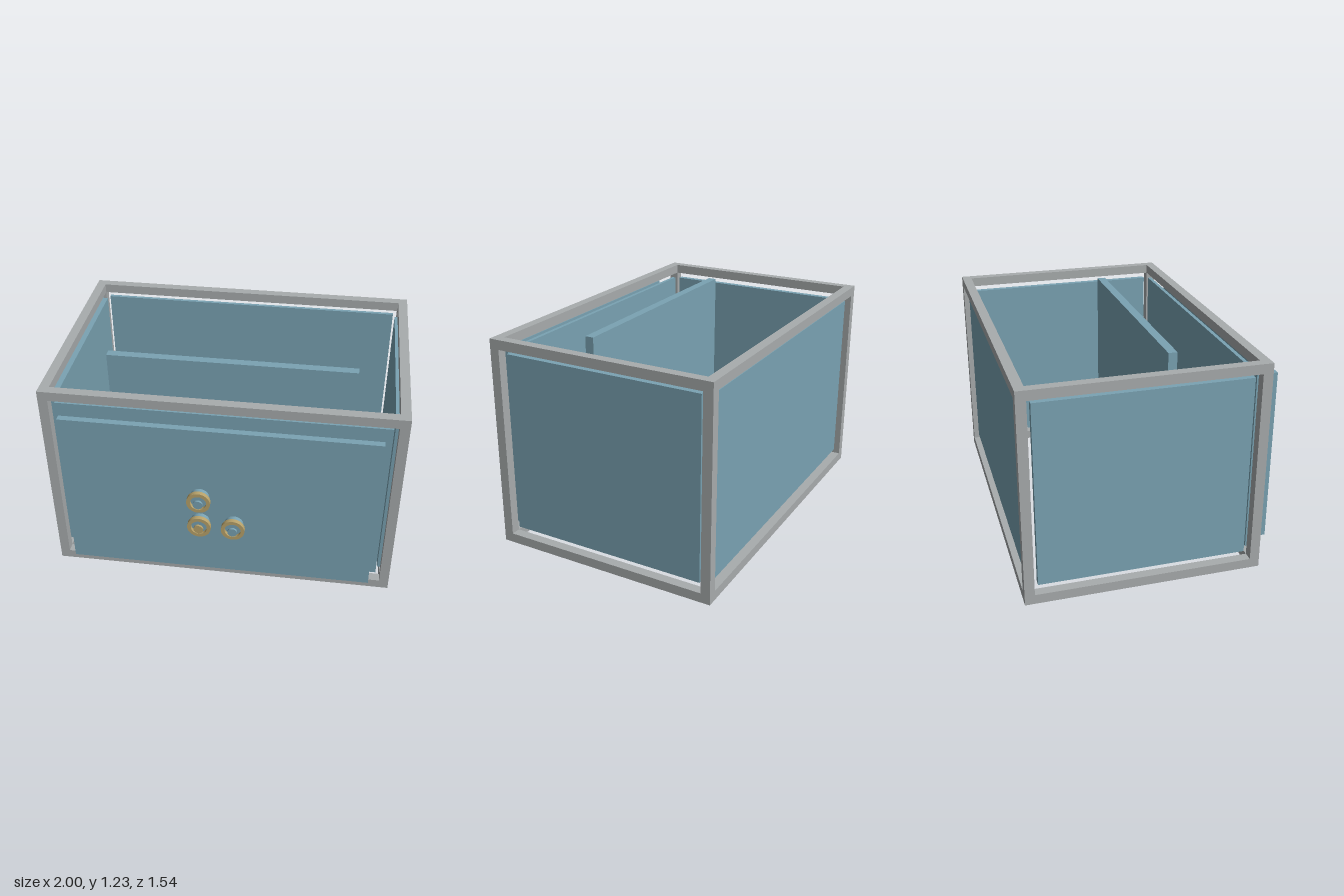
import * as THREE from 'three';

const mat = (name, color, flat = false) => {
  const m = new THREE.MeshStandardMaterial({ color, flatShading: flat });
  m.name = name;
  return m;
};

export function createModel() {
  const model = new THREE.Group();
  model.name = 'framedCabinet';
  const steel = mat('greySteel', 0xa8acad);
  const blue = mat('bluePanel', 0x7aa3b3);
  const blueKnob = mat('blueKnob', 0x7aa3b3);
  const brass = mat('brass', 0xb9a36b);

  // box given by its min and max corners
  const box = (parent, name, material, [x0, y0, z0], [x1, y1, z1]) => {
    const mesh = new THREE.Mesh(new THREE.BoxGeometry(x1 - x0, y1 - y0, z1 - z0), material);
    mesh.position.set((x0 + x1) / 2, (y0 + y1) / 2, (z0 + z1) / 2);
    mesh.name = name;
    parent.add(mesh);
  };

  // open frame of twelve square bars
  const H = 1.225, T = 0.055, ZB = -0.77, ZF = 0.56;
  const frame = new THREE.Group();
  frame.name = 'frame';
  model.add(frame);
  for (const z of [ZB, ZF - T]) {
    for (const x of [-1, 1 - T]) box(frame, 'post', steel, [x, 0, z], [x + T, H, z + T]);
    for (const y of [0, H - T]) box(frame, 'longRail', steel, [-1 + T, y, z], [1 - T, y + T, z + T]);
  }
  for (const x of [-1, 1 - T])
    for (const y of [0, H - T]) box(frame, 'sideRail', steel, [x, y, ZB + T], [x + T, y + T, ZF - T]);

  // wall panels set inside the frame openings
  const y0 = 0.09, y1 = 1.14;
  box(model, 'leftPanel', blue, [0.93, y0, -0.69], [0.965, y1, 0.48]);
  box(model, 'rightPanel', blue, [-0.965, y0, -0.69], [-0.93, y1, 0.48]);
  box(model, 'frontPanel', blue, [-0.92, y0, 0.508], [0.92, y1, 0.53]);
  box(model, 'backPanel', blue, [-0.92, y0, -0.74], [0.92, y1, -0.718]);

  // inner divider and outer door plate
  box(model, 'divider', blue, [-0.72, 0, 0.09], [0.72, H, 0.14]);
  box(model, 'door', blue, [-0.875, 0.115, 0.61], [0.875, 1.115, 0.647]);

  // three knobs: body, brass ring and a small centre button
  const SIDES = 32;
  const disc = (parent, name, material, r, z0, z1) => {
    const geo = new THREE.CylinderGeometry(r, r, z1 - z0, SIDES).rotateX(Math.PI / 2);
    const mesh = new THREE.Mesh(geo, material);
    mesh.position.z = (z0 + z1) / 2;
    mesh.name = name;
    parent.add(mesh);
  };
  const ringShape = new THREE.Shape().absarc(0, 0, 0.066, 0, Math.PI * 2);
  ringShape.holes.push(new THREE.Path().absarc(0, 0, 0.045, 0, Math.PI * 2, true));
  const ringGeo = new THREE.ExtrudeGeometry(ringShape, { depth: 0.024, bevelEnabled: false, curveSegments: SIDES });
  for (const [x, y, button] of [[-0.095, 0.703, blueKnob], [-0.095, 0.525, brass], [0.095, 0.525, blueKnob]]) {
    const knob = new THREE.Group();
    knob.name = 'knob';
    knob.position.set(x, y, 0);
    disc(knob, 'knobBody', blueKnob, 0.053, 0.692, 0.735);
    const ring = new THREE.Mesh(ringGeo, brass);
    ring.name = 'knobRing';
    ring.position.z = 0.73;
    knob.add(ring);
    disc(knob, 'knobButton', button, 0.027, 0.758, 0.77);
    model.add(knob);
  }
  return model;
}
